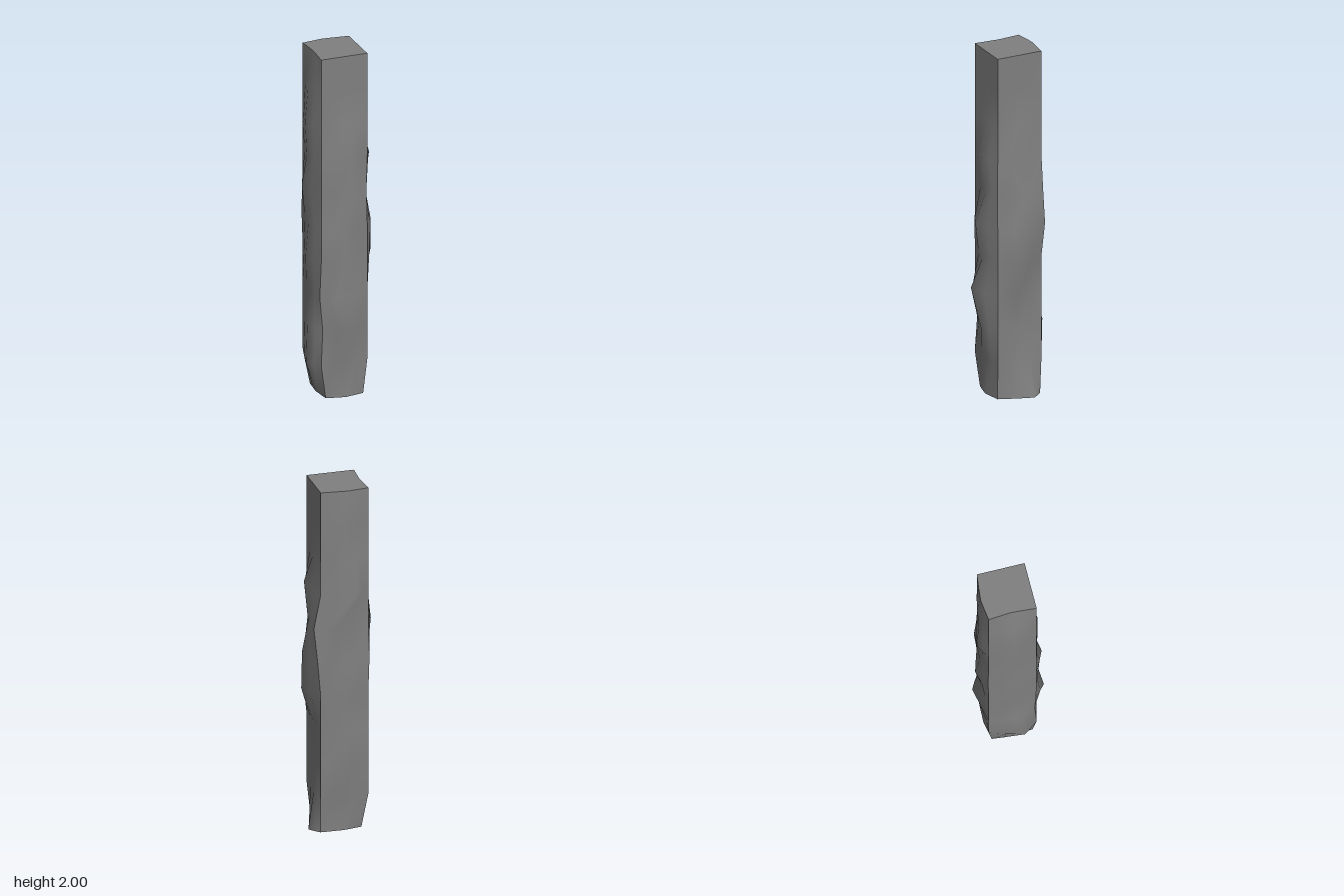
import * as THREE from 'three';

const STEP = 0.2;

// Square post corners, counter-clockwise from above, with a few worn levels
const CORNERS = [[-0.14, 0.13], [0.13, 0.13], [0.13, -0.138], [-0.14, -0.14]];
const WORN = {
  0: [[-0.108, 0.115], [0.11, 0.12], [0.13, -0.13], [-0.108, -0.115]],
  2: [[-0.128, 0.122], [0.13, 0.13], [0.13, -0.138], [-0.14, -0.14]],
  3: [[-0.146, 0.124], [0.13, 0.13], [0.13, -0.138], [-0.14, -0.14]],
  5: [[-0.14, 0.13], [0.13, 0.13], [0.15, -0.15], [-0.145, -0.145]],
  6: [[-0.14, 0.13], [0.125, 0.13], [0.166, -0.13], [-0.14, -0.14]],
};

// For each level from the ground up: [distance out, position along the face]
const SIDES = {
  frontFace: [[0.14, 0], [0.128, 0], [0.18, 0.03], [0.185, -0.08], [0.155, 0],
    [0.185, -0.03], [0.14, 0.02], [0.175, 0.02], [0.13, 0], [0.13, 0], [0.13, 0]],
  rightFace: [[0.18, -0.07], [0.128, 0], [0.125, 0], [0.128, 0], [0.195, 0.015],
    [0.18, 0.05], [0.16, 0], [0.16, 0.08], [0.127, 0], [0.128, 0], [0.13, 0]],
  backFace: [[-0.135, 0], [-0.13, 0], [-0.183, 0.055], [-0.145, 0], [-0.178, 0.01],
    [-0.155, 0], [-0.165, 0.05], [-0.186, -0.06], [-0.16, 0], [-0.17, 0], [-0.155, -0.02]],
  leftFace: [[-0.12, 0], [-0.197, 0.05], [-0.17, 0], [-0.152, 0], [-0.18, 0],
    [-0.163, 0], [-0.178, -0.06], [-0.172, 0], [-0.183, 0], [-0.165, 0], [-0.13, -0.01]],
};

const cornersAt = (level) => WORN[level] || CORNERS;

// Five points across one face at one level: corner, flank, peak, flank, corner
function facePoints(side, level, [out, along]) {
  const c = cornersAt(level);
  const a = c[side], b = c[(side + 1) % 4];
  const peak = side % 2 ? [out, along] : [along, out];
  const flank = (p) => {
    const mid = [(p[0] + peak[0]) / 2, (p[1] + peak[1]) / 2];
    const k = side % 2 ? 0 : 1;
    mid[k] = p[k] + (peak[k] - p[k]) * 0.54;
    return mid;
  };
  return [a, flank(a), peak, flank(b), b];
}

function geometry(positions, index) {
  const g = new THREE.BufferGeometry();
  g.setAttribute('position', new THREE.Float32BufferAttribute(positions, 3));
  g.setIndex(index);
  g.computeVertexNormals();
  return g;
}

export function createModel() {
  const group = new THREE.Group();
  group.name = 'roughPost';
  const material = new THREE.MeshStandardMaterial({ color: 0x808080 });
  const add = (name, geo) => {
    const mesh = new THREE.Mesh(geo, material);
    mesh.name = name;
    group.add(mesh);
  };

  // Four uneven faces, smooth within themselves and sharp at the corners
  const ends = { bottomCap: [], topCap: [] };
  Object.entries(SIDES).forEach(([name, levels], side) => {
    const positions = [], index = [];
    levels.forEach((bump, level) => {
      const row = facePoints(side, level, bump);
      row.forEach(([x, z]) => positions.push(x, level * STEP, z));
      if (level === 0) ends.bottomCap.push(...row.slice(0, 4));
      if (level === levels.length - 1) ends.topCap.push(...row.slice(0, 4));
      if (level === 0) return;
      for (let i = 0; i < 4; i++) {
        const a = (level - 1) * 5 + i, b = a + 1, c = a + 5, d = a + 6;
        index.push(a, b, d, a, d, c);
      }
    });
    add(name, geometry(positions, index));
  });

  // Flat ends
  for (const [name, ring] of Object.entries(ends)) {
    const top = name === 'topCap', y = top ? 2 : 0;
    const positions = [0, y, 0], index = [];
    ring.forEach(([x, z], i) => {
      positions.push(x, y, z);
      const a = i + 1, b = (i + 1) % ring.length + 1;
      index.push(0, ...(top ? [a, b] : [b, a]));
    });
    add(name, geometry(positions, index));
  }
  return group;
}
